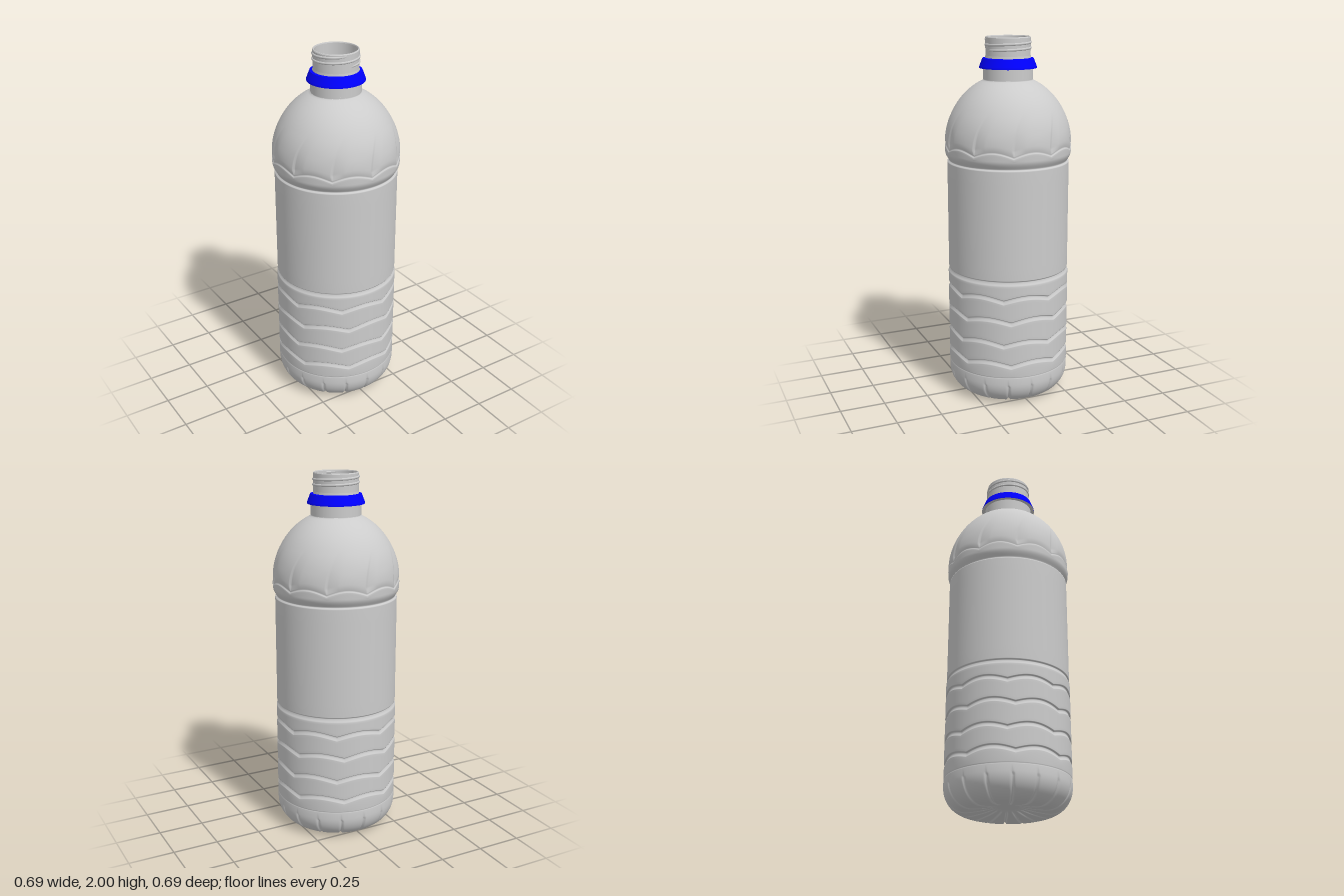
import * as THREE from 'three';

const SEG = 320;
const grey = new THREE.MeshStandardMaterial({ color: 0xcccccc, side: THREE.DoubleSide });
const blue = new THREE.MeshStandardMaterial({ color: 0x0000ff, side: THREE.DoubleSide });

// Skin a stack of rings; each ring may be wavy, twisted, slotted or swirled.
function skinRings(rings) {
  const pos = [], index = [];
  rings.forEach((ring, i) => {
    const { r, y, amp = 0, count = 0, phase = 0, twist = 0, swirl = 0, slot = 0 } = ring;
    for (let j = 0; j < SEG; j++) {
      const base = (j / SEG) * Math.PI * 2;
      const a = base + twist;
      let rr = r;
      let yy = y + amp * (Math.abs(Math.sin((count / 2) * (base - phase))) - 0.6);
      if (slot) { // 16 radial slots in the foot
        const step = SEG / 16, k = j % step;
        const arc = (Math.min(k, step - k) / SEG) * Math.PI * 2 * r;
        const d = slot * THREE.MathUtils.clamp(1.5 - arc / 0.005, 0, 1);
        rr *= 1 - 0.03 * d;
        yy += (0.2 - y) * 0.05 * d;
      }
      if (swirl) { // 10 creases, sharp on one side and fading on the other
        rr -= swirl * Math.max(0, 1 - (j % (SEG / 10)) / 9);
      }
      pos.push(rr * Math.sin(a), yy, rr * Math.cos(a));
      if (i < rings.length - 1) {
        const n = (j + 1) % SEG, p = i * SEG, q = p + SEG;
        index.push(p + j, p + n, q + j, p + n, q + n, q + j);
      }
    }
  });
  const g = new THREE.BufferGeometry();
  g.setAttribute('position', new THREE.Float32BufferAttribute(pos, 3));
  g.setIndex(index);
  g.computeVertexNormals();
  return g;
}

function footRings() {
  const rings = [{ r: 0, y: 0.035 }, { r: 0.055, y: 0.035 }, { r: 0.065, y: 0.03 }];
  for (let i = 0; i <= 8; i++) {
    const t = i / 8;
    rings.push({ r: 0.07 + 0.15 * t, y: 0.028 * (1 - t) ** 1.5, slot: i ? 1 : 0 });
  }
  for (let i = 1; i <= 16; i++) {
    const t = (i / 16) * Math.PI / 2;
    rings.push({ r: 0.22 + 0.118 * Math.sin(t), y: 0.13 * (1 - Math.cos(t)), slot: i < 16 ? 1 : 0 });
  }
  rings.push({ r: 0.338, y: 0.165 }, { r: 0.335, y: 0.169 }, { r: 0.335, y: 0.173 }, { r: 0.338, y: 0.177 });
  return rings;
}

// Four wavy grooves round the lower body
function gripRings() {
  const rings = [];
  const R = 0.338;
  [0.25, 0.37, 0.5, 0.625].forEach((y, i) => {
    const phase = THREE.MathUtils.degToRad(i % 2 ? 18 : -20);
    const cut = [[-0.03, 0], [-0.016, 0], [-0.013, 0.001], [-0.003, 0.008], [0.005, 0.009],
      [0.008, 0.008], [0.011, 0.001], [0.014, 0], [0.028, 0]];
    for (const [dy, d] of cut) rings.push({ r: R - d, y: y + dy, amp: 0.024, count: 8, phase });
  });
  rings.push({ r: R, y: 0.69 }, { r: R, y: 0.7 }, { r: R - 0.002, y: 0.706 });
  return rings;
}

function panelRings() {
  return [[0.33, 0.712], [0.328, 0.722], [0.328, 0.725], [0.334, 0.728], [0.335, 0.732], [0.335, 0.8],
    [0.335, 1.25], [0.335, 1.325], [0.334, 1.33], [0.326, 1.334], [0.326, 1.338]]
    .map(([r, y]) => ({ r, y }));
}

// Shoulder: rounded lip, scalloped line, then a dome with leaning creases
function shoulderRings() {
  const rings = [];
  for (let i = 0; i <= 6; i++) {
    const t = i / 6;
    rings.push({ r: 0.328 + 0.018 * Math.sin(t * Math.PI / 2), y: 1.342 + 0.042 * t });
  }
  for (const [y, r] of [[1.4, 0.347], [1.408, 0.347], [1.411, 0.346], [1.415, 0.342], [1.42, 0.342], [1.426, 0.3445]]) {
    rings.push({ r, y, amp: 0.026, count: 10 });
  }
  for (let i = 1; i <= 36; i++) {
    const t = (i / 36) * Math.asin(0.9188);
    const y = 1.42 + 0.38 * Math.sin(t);
    const rise = THREE.MathUtils.clamp((y - 1.42) / 0.2, 0, 1);
    rings.push({
      r: 0.346 * Math.cos(t), y: y + 0.01 * (1 - rise), amp: 0.026 * Math.max(0, 1 - rise * 2), count: 10,
      twist: 0.19 * rise * rise, swirl: 0.008 * (1 - rise),
    });
  }
  rings.push({ r: 0.136, y: 1.774 }, { r: 0.136, y: 1.78 });
  return rings;
}

// Lathe with hard edges: every straight run gets its own strip
function lathe(points, material, name) {
  const group = new THREE.Group();
  group.name = name;
  for (let i = 0; i < points.length - 1; i++) {
    const pair = [points[i], points[i + 1]].map(([r, y]) => new THREE.Vector2(r, y));
    const mesh = new THREE.Mesh(new THREE.LatheGeometry(pair, 96), material);
    mesh.name = name + 'Band' + (i + 1);
    group.add(mesh);
  }
  return group;
}

// Screw thread: a thin bead wound about the neck
function threadGeometry() {
  const pts = [];
  const turns = 2;
  for (let i = 0; i <= 96; i++) {
    const t = i / 96, a = t * turns * Math.PI * 2;
    const r = 0.1205 - 0.006 * Math.max(0, Math.abs(t - 0.5) * 20 - 9);
    pts.push(new THREE.Vector3(r * Math.sin(a), 1.928 + 0.058 * t, r * Math.cos(a)));
  }
  return new THREE.TubeGeometry(new THREE.CatmullRomCurve3(pts), 240, 0.007, 8);
}

export function createModel() {
  const model = new THREE.Group();
  model.name = 'bottle';

  const body = new THREE.Mesh(
    skinRings([...footRings(), ...gripRings(), ...panelRings(), ...shoulderRings()]), grey);
  body.name = 'body';
  model.add(body);

  // Neck with open mouth and inner wall
  model.add(lathe([[0.136, 1.78], [0.136, 1.835], [0.124, 1.885], [0.122, 1.9], [0.122, 1.995], [0.119, 2],
    [0.115, 2], [0.113, 1.995], [0.113, 1.78], [0.136, 1.772]], grey, 'neck'));

  const thread = new THREE.Mesh(threadGeometry(), grey);
  thread.name = 'thread';
  model.add(thread);

  // Coloured collar with a plain underside
  model.add(lathe([[0.156, 1.834], [0.155, 1.842], [0.138, 1.886], [0.122, 1.888]], blue, 'collar'));
  model.add(lathe([[0.134, 1.834], [0.156, 1.834]], grey, 'collarUnderside'));

  return model;
}
